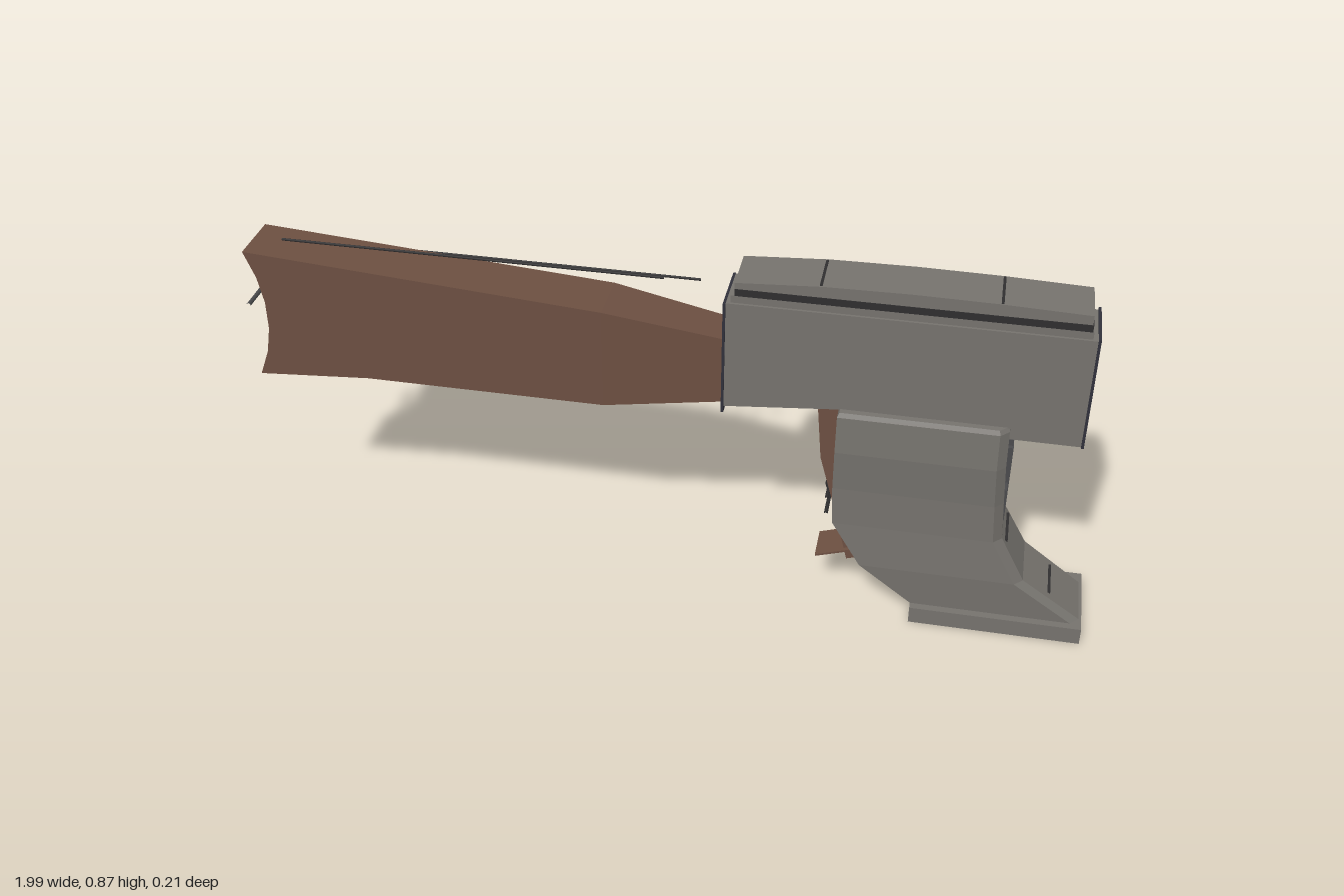
import * as THREE from 'three';

const mat = (name, color, extra = {}) => {
  const m = new THREE.MeshStandardMaterial({ color, ...extra });
  m.name = name;
  return m;
};

export function createModel() {
  const model = new THREE.Group();
  const grey = mat('metal grey', 0x75726d);
  const brown = mat('wood brown', 0x6c4f41);
  const navy = mat('end plate navy', 0x30303a);
  const dark = mat('dark trim', 0x2f2e2f);
  const slotGrey = mat('slot grey', 0x4a4a4c);

  const add = (name, geometry, material, x = 0, y = 0, z = 0) => {
    const mesh = new THREE.Mesh(geometry, material);
    mesh.name = name;
    mesh.position.set(x, y, z);
    model.add(mesh);
    return mesh;
  };
  // Box given by its limits on each axis
  const box = (name, material, x0, x1, y0, y1, z0, z1) =>
    add(name, new THREE.BoxGeometry(x1 - x0, y1 - y0, z1 - z0), material,
      (x0 + x1) / 2, (y0 + y1) / 2, (z0 + z1) / 2);
  // Side profile extruded symmetrically about z = 0
  const slab = (points, half) => {
    const shape = new THREE.Shape(points.map(p => new THREE.Vector2(...p)));
    const g = new THREE.ExtrudeGeometry(shape, { depth: 2 * half, bevelEnabled: false });
    return g.translate(0, 0, -half);
  };
  // Straight thin rod between two points
  const rod = (name, a, b, r, material) => {
    const path = new THREE.LineCurve3(new THREE.Vector3(...a), new THREE.Vector3(...b));
    return add(name, new THREE.TubeGeometry(path, 1, r, 6), material);
  };

  // Shoulder stock with a concave butt, and a neck tapering into the receiver
  add('stock', slab([[-0.99, 0.48], [-0.72, 0.5], [-0.15, 0.5], [-0.15, 0.748], [-0.99, 0.81],
    [-0.965, 0.745], [-0.953, 0.68], [-0.953, 0.61], [-0.965, 0.545]], 0.068), brown);
  const neck = slab([[-0.15, 0.5], [0.13, 0.535], [0.13, 0.7], [-0.15, 0.748]], 0.068);
  const np = neck.attributes.position;
  for (let i = 0; i < np.count; i++) if (np.getX(i) > 0) np.setZ(i, np.getZ(i) * 0.72);
  neck.computeVertexNormals();
  add('stockNeck', neck, brown);

  // Thin rods along the stock, the sling ring and the butt pin
  rod('upperRod', [-0.92, 0.814, 0], [-0.02, 0.814, 0], 0.003, dark);
  rod('sideRod', [-0.86, 0.776, -0.073], [0.05, 0.776, -0.073], 0.003, dark);
  rod('lowerRod', [-0.88, 0.535, -0.071], [0.05, 0.535, -0.071], 0.003, dark);
  add('slingRing', new THREE.TorusGeometry(0.026, 0.005, 6, 16), dark, -0.963, 0.602, -0.08);
  rod('buttPin', [-0.994, 0.67, -0.07], [-0.994, 0.67, 0.07], 0.005, slotGrey);

  // Receiver with a sloped rear underside and dark end plates
  add('receiver', slab([[0.13, 0.535], [0.39, 0.56], [0.77, 0.56], [0.77, 0.532], [0.926, 0.532],
    [0.926, 0.805], [0.13, 0.805]], 0.067), grey);
  box('frontPlate', navy, 0.926, 0.932, 0.53, 0.81, -0.07, 0.07);
  box('rearPlate', navy, 0.124, 0.13, 0.52, 0.805, -0.07, 0.07);

  // Top cover: lower rail, dark strip and a gently arched lid
  box('coverBase', grey, 0.14, 0.915, 0.805, 0.823, -0.061, 0.061);
  box('coverStrip', dark, 0.148, 0.912, 0.823, 0.84, -0.062, 0.062);
  add('coverLid', slab([[0.148, 0.84], [0.91, 0.84], [0.91, 0.862], [0.72, 0.868], [0.53, 0.87],
    [0.34, 0.867], [0.148, 0.855]], 0.061), grey);
  for (const [x, y] of [[0.335, 0.867], [0.72, 0.868]])
    box('coverSeam', dark, x - 0.003, x + 0.003, y - 0.004, y + 0.001, -0.058, 0.058);

  // Pins, slots and catch on the rear side of the receiver
  for (const x of [0.23, 0.51, 0.78]) {
    for (const y of [0.6, 0.725]) {
      const pin = add('receiverPin', new THREE.CylinderGeometry(0.008, 0.008, 0.006, 10), dark, x, y, -0.069);
      pin.rotation.x = Math.PI / 2;
    }
  }
  for (const x of [0.315, 0.59])
    box('sideSlot', slotGrey, x, x + 0.14, 0.632, 0.675, -0.074, -0.066);
  box('sideCatch', grey, 0.37, 0.445, 0.655, 0.735, -0.081, -0.067);

  // Curved magazine: rows of y, rear x, front x, half width
  const rows = [[0.045, 0.592, 0.985, 0.088], [0.145, 0.465, 0.845, 0.094], [0.255, 0.395, 0.785, 0.087],
    [0.355, 0.39, 0.778, 0.087], [0.46, 0.39, 0.772, 0.094], [0.552, 0.39, 0.77, 0.088], [0.562, 0.394, 0.768, 0.082]];
  const pos = [], index = [], n = 6;
  rows.forEach(([y, r, f, w]) => {
    const c = 0.02;
    pos.push(r, y, w, f - c, y, w, f, y, w - c, f, y, c - w, f - c, y, -w, r, y, -w);
  });
  for (let j = 0; j < rows.length - 1; j++) {
    for (let i = 0; i < n; i++) {
      const a = j * n + i, b = j * n + (i + 1) % n;
      index.push(a, b, b + n, a, b + n, a + n);
    }
  }
  const top = (rows.length - 1) * n;
  for (let i = 1; i < n - 1; i++) index.push(top, top + i, top + i + 1, 0, i + 1, i);
  const indexed = new THREE.BufferGeometry();
  indexed.setAttribute('position', new THREE.Float32BufferAttribute(pos, 3));
  indexed.setIndex(index);
  const magazine = indexed.toNonIndexed();
  magazine.computeVertexNormals();
  add('magazine', magazine, grey);
  box('magazineBase', grey, 0.592, 0.992, 0, 0.043, -0.104, 0.104);

  // Raised ribs on the magazine front
  box('frontRib', slotGrey, 0.765, 0.785, 0.27, 0.476, -0.02, 0.02);
  for (const y of [0.372, 0.513])
    box('frontBar', slotGrey, 0.765, 0.782, y - 0.008, y + 0.008, -0.052, 0.052);
  for (const [x, y] of [[0.793, 0.238], [0.907, 0.098]])
    box('frontLine', dark, x - 0.01, x + 0.006, y - 0.003, y + 0.003, -0.052, 0.052);

  // Grip behind the magazine with its flat foot and a small ring
  add('grip', slab([[0.342, 0.532], [0.354, 0.4], [0.39, 0.27], [0.43, 0.112], [0.49, 0.132],
    [0.47, 0.17], [0.41, 0.28], [0.4, 0.552]], 0.035), brown);
  const foot = add('gripFoot', new THREE.BoxGeometry(0.13, 0.005, 0.09), brown, 0.418, 0.139, 0);
  foot.rotation.z = 0.32;
  for (const y of [0.245, 0.29])
    rod('gripPin', [0.375, y, -0.045], [0.375, y, 0.045], 0.005, dark);
  add('gripRing', new THREE.TorusGeometry(0.024, 0.004, 6, 14), dark, 0.39, 0.27, -0.045);

  return model;
}
